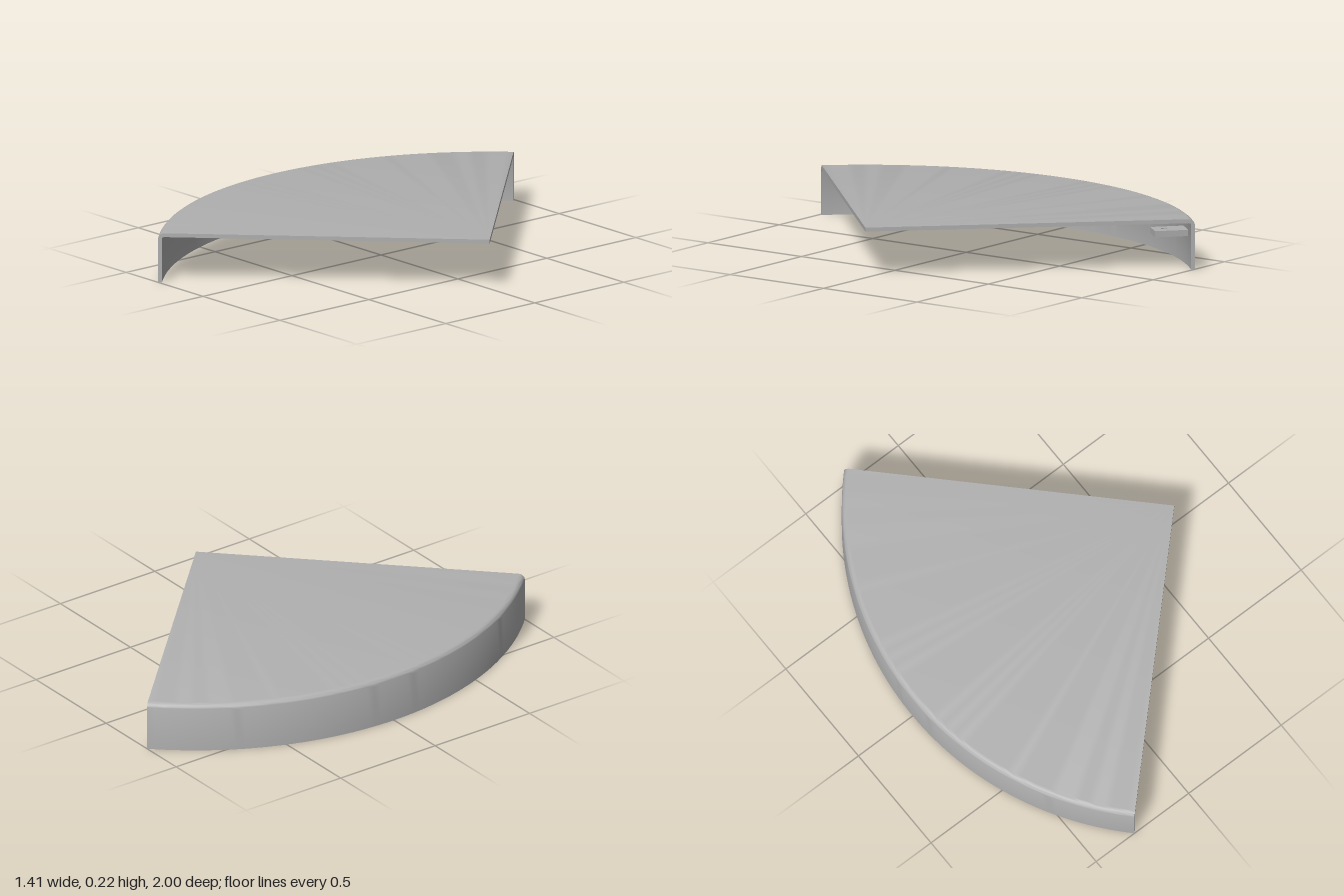
import * as THREE from 'three';
import { toCreasedNormals } from 'three/addons/utils/BufferGeometryUtils.js';

const R = 1.414;          // outer radius of the quarter disc
const H = 0.217;          // overall height
const T = 0.017;          // sheet thickness
const APEX = 0.707;       // x of the pointed corner

export function createModel() {
  const model = new THREE.Group();
  const grey = new THREE.MeshStandardMaterial({ color: 0xb0b0b0, side: THREE.DoubleSide });
  grey.name = 'grey metal';

  const add = (name, geometry) => {
    const mesh = new THREE.Mesh(geometry, grey);
    mesh.name = name;
    mesh.position.x = APEX;
    model.add(mesh);
  };

  // Cross-section: rim wall, rounded shoulder, flat top, underside
  const profile = [new THREE.Vector2(R - T, 0), new THREE.Vector2(R, 0)];
  const bend = (radius, from, to) => {
    const cx = R - 0.026, cy = H - 0.026;
    for (let i = 0; i <= 6; i++) {
      const a = THREE.MathUtils.lerp(from, to, i / 6);
      profile.push(new THREE.Vector2(cx + radius * Math.cos(a), cy + radius * Math.sin(a)));
    }
  };
  bend(0.026, 0, Math.PI / 2);
  profile.push(new THREE.Vector2(0, H), new THREE.Vector2(0, H - T));
  bend(0.026 - T, Math.PI / 2, 0);
  profile.push(new THREE.Vector2(R - T, 0));

  // Quarter-round cover swept about the pointed corner
  const start = -Math.PI * 0.75, sweep = Math.PI / 2;
  add('cover', toCreasedNormals(new THREE.LatheGeometry(profile, 64, start, sweep), 0.6));

  // Straight cut faces at both ends of the sweep
  const section = new THREE.Shape(profile.slice(0, -1));
  [start, start + sweep].forEach((phi, i) => {
    const cap = new THREE.ShapeGeometry(section);
    cap.rotateY(phi - Math.PI / 2);
    add(i ? 'backCutFace' : 'frontCutFace', cap);
  });

  // Drilled mounting tabs on the inside of the rim
  const tab = new THREE.Shape();
  tab.moveTo(1.252, -0.048).lineTo(1.403, -0.048).lineTo(1.403, 0.048).lineTo(1.252, 0.048).closePath();
  const hole = new THREE.Path();
  hole.absarc(1.302, 0, 0.014, 0, Math.PI * 2, true);
  tab.holes.push(hole);
  [20, -40].forEach((deg, i) => {
    const geometry = new THREE.ExtrudeGeometry(tab, { depth: 0.027, bevelEnabled: false, curveSegments: 16 });
    geometry.rotateX(-Math.PI / 2);
    geometry.rotateY(Math.PI + THREE.MathUtils.degToRad(deg));
    geometry.translate(0, 0.13, 0);
    add(i ? 'backMountingTab' : 'frontMountingTab', geometry);
  });

  return model;
}
